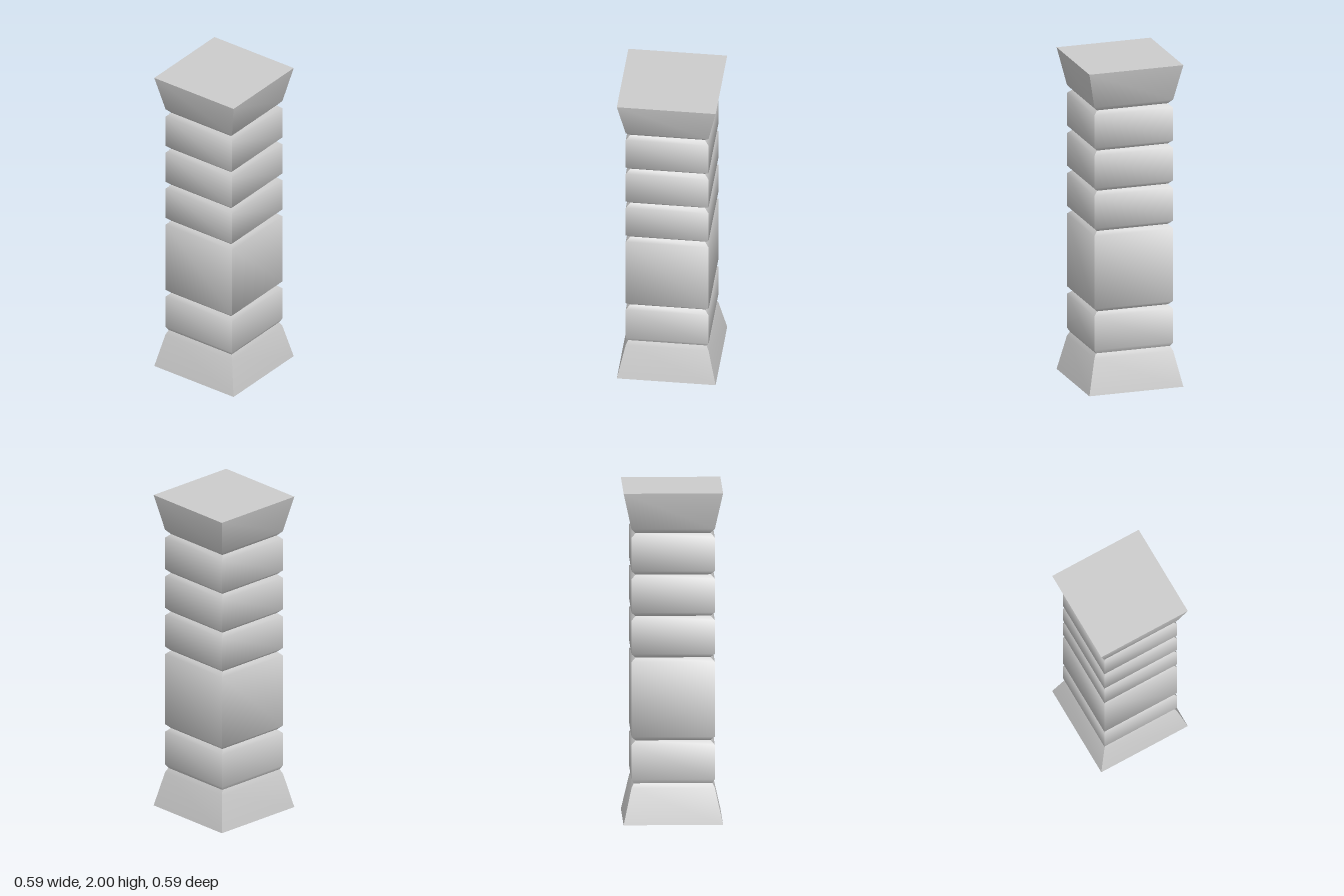
import * as THREE from 'three';
import { toCreasedNormals } from 'three/addons/utils/BufferGeometryUtils.js';

const material = new THREE.MeshStandardMaterial({ color: 0xcccccc });

// Square block turned from a profile of [half width, height] points, listed bottom to top
function squareBlock(name, profile) {
  const points = profile.map(([half, y]) => new THREE.Vector2(half * Math.SQRT2, y));
  const lathe = new THREE.LatheGeometry(points, 4, Math.PI / 4);
  const mesh = new THREE.Mesh(toCreasedNormals(lathe, 1.0), material);
  mesh.name = name;
  return mesh;
}

export function createModel() {
  const pillar = new THREE.Group();
  pillar.name = 'pillar';

  const foot = 0.296;   // half width at the very bottom and top
  const face = 0.248;   // half width of the shaft
  const groove = 0.223; // half width at the bottom of a groove
  const bevel = 0.024;  // height of each groove slope

  // Flared base with a shallow neck
  const neck = [0.234, 0.243];
  pillar.add(squareBlock('base', [[0, 0], [foot, 0], [face, 0.215], neck]));

  // Shaft blocks, each running from one groove to the next
  const valleys = [neck, ...[0.5, 1, 1.25, 1.5, 1.75].map((y) => [groove, y])];
  for (let i = 0; i < valleys.length - 1; i++) {
    const low = valleys[i];
    const high = valleys[i + 1];
    pillar.add(squareBlock(`shaftBlock${i + 1}`, [
      low, [face, low[1] + bevel], [face, high[1] - bevel], high,
    ]));
  }

  // Flared capital
  pillar.add(squareBlock('capital', [
    [groove, 1.75], [face, 1.777], [foot, 2], [0, 2],
  ]));

  return pillar;
}
